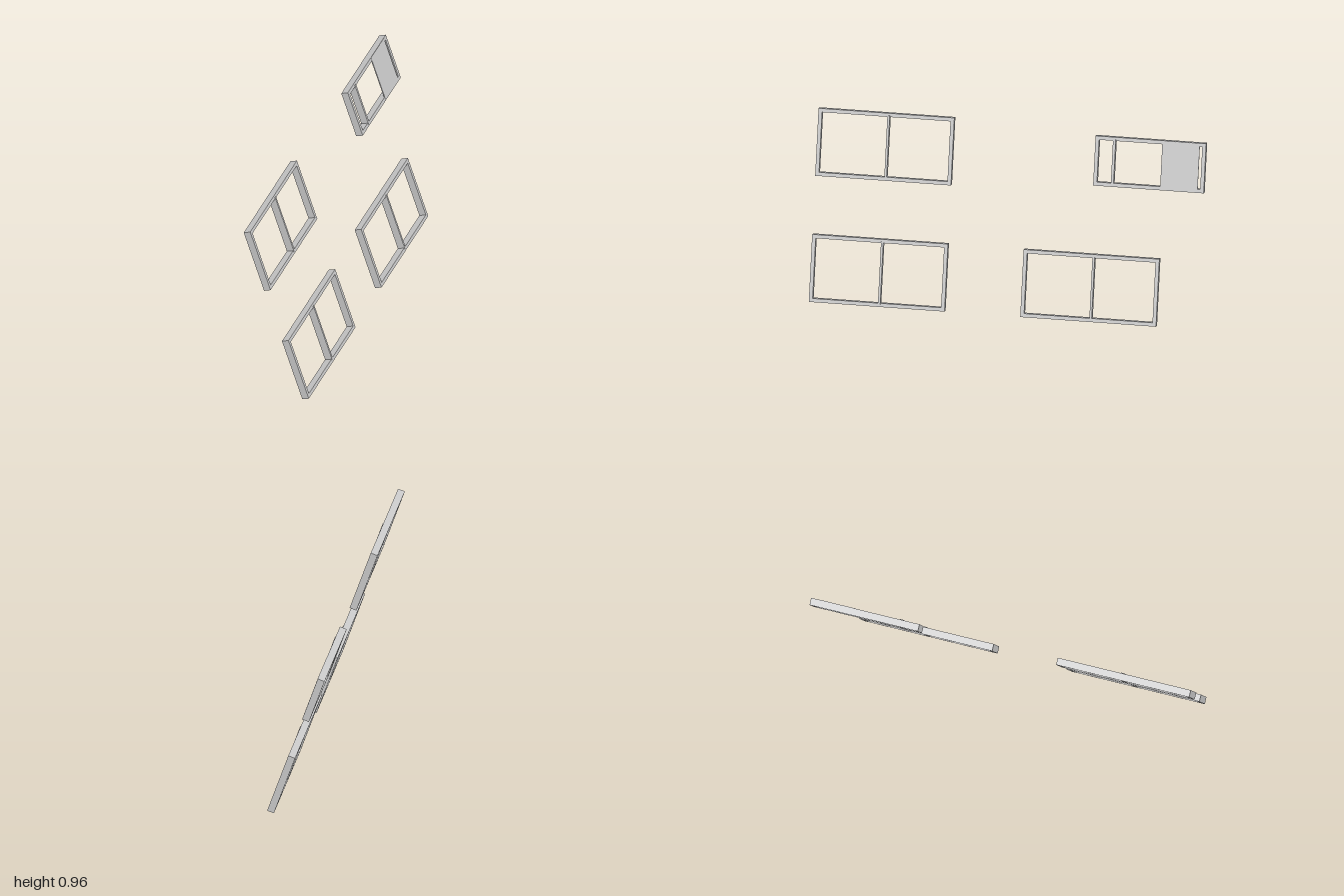
import * as THREE from 'three';

const TILT = 0.322;   // lean of every frame about z
const DEPTH = 0.037;  // thickness of the frames
const RAIL = 0.019;   // width of the rails and stiles
const LIP = 0.003;    // how far the bars stand proud of the outer face

const material = new THREE.MeshStandardMaterial({ color: 0xcccccc, flatShading: true });

function addMesh(parent, name, geometry) {
  const mesh = new THREE.Mesh(geometry, material);
  mesh.name = name;
  parent.add(mesh);
  return mesh;
}

function rectangle(path, w, h) {
  path.moveTo(-w / 2, -h / 2);
  path.lineTo(w / 2, -h / 2);
  path.lineTo(w / 2, h / 2);
  path.lineTo(-w / 2, h / 2);
  path.closePath();
  return path;
}

// Leaning rectangular frame with one upright glazing bar; its face points to +x
function windowFrame(name, position, width, height, barZ, barWidth) {
  const group = new THREE.Group();
  group.name = name;

  // Surround: two rails and two stiles in one ring
  const shape = rectangle(new THREE.Shape(), width, height);
  shape.holes.push(rectangle(new THREE.Path(), width - 2 * RAIL, height - 2 * RAIL));
  const ring = new THREE.ExtrudeGeometry(shape, { depth: DEPTH, bevelEnabled: false });
  ring.translate(0, 0, -DEPTH / 2);
  ring.rotateY(-Math.PI / 2);
  addMesh(group, 'surround', ring);

  // Glazing bar, slightly proud of the surround
  const bar = new THREE.BoxGeometry(DEPTH + LIP - 0.001, height - 1.3 * RAIL, barWidth);
  addMesh(group, 'glazingBar', bar).position.set((LIP + 0.001) / 2, 0, barZ);

  group.position.set(...position);
  group.rotation.z = TILT;
  return group;
}

export function createModel() {
  const model = new THREE.Group();
  model.name = 'windowFrames';

  // Three equal large frames
  const large = [
    ['lowerFrontFrame', [0.1025, 0.171, 0.65]],
    ['lowerBackFrame', [0.1025, 0.171, -0.44]],
    ['upperFrontFrame', [-0.1045, 0.787, 0.65]],
  ];
  for (const [name, position] of large) {
    model.add(windowFrame(name, position, 0.7, 0.348, -0.012, 0.012));
  }

  // Small frame, partly closed by a thin panel on its outer face
  const small = windowFrame('upperBackFrame', [-0.1075, 0.7925, -0.715], 0.57, 0.256, 0.187, 0.014);
  const panel = new THREE.BoxGeometry(0.005, 0.254, 0.193);
  addMesh(small, 'panel', panel).position.set(DEPTH / 2 - 0.0015, 0, -0.1565);
  model.add(small);

  return model;
}
